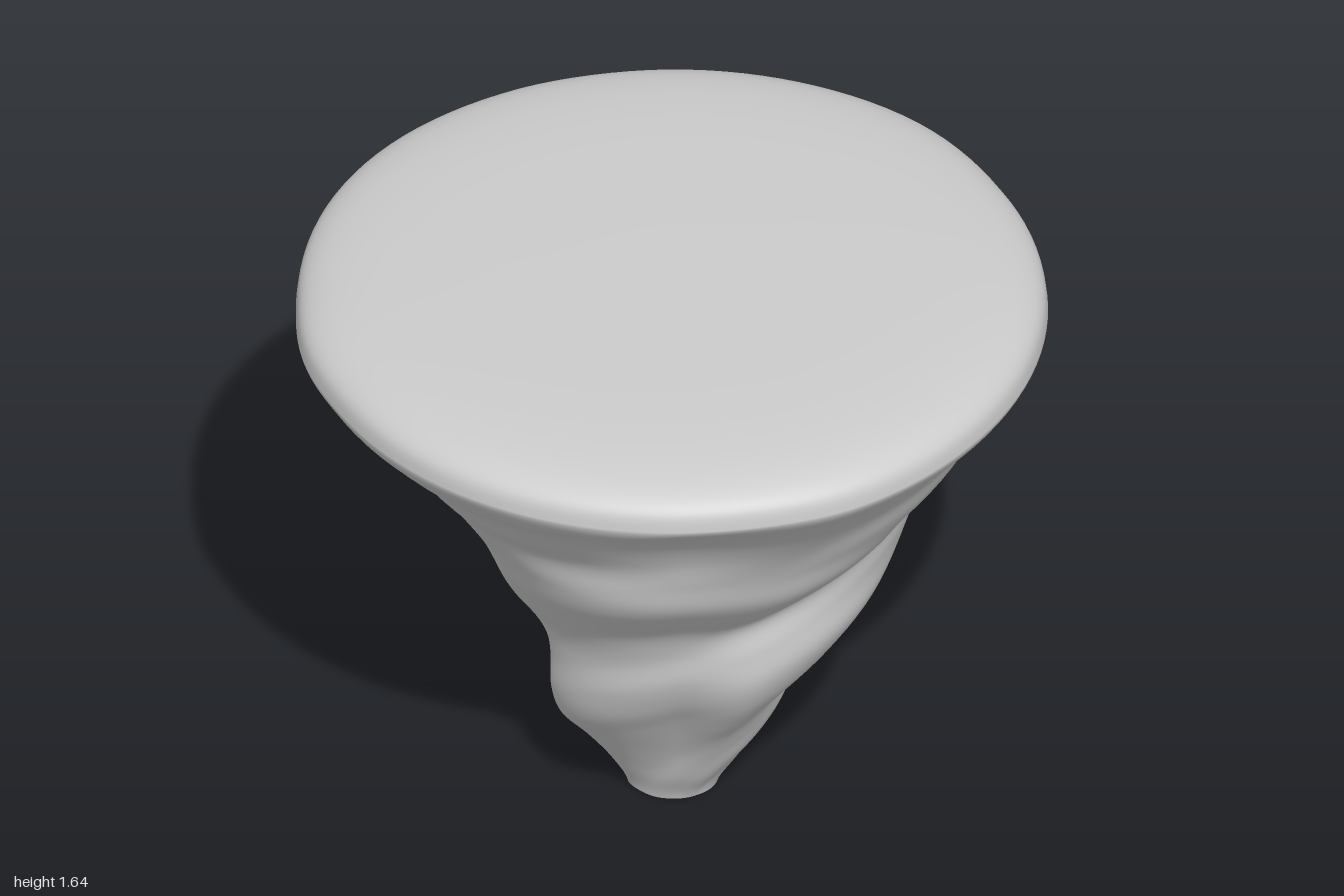
import * as THREE from 'three';

const STEP = 0.1, TOP = 1.5, SEG = 120, RINGS = 90;

// For each direction (degrees from the front towards +x): radius every 0.1 of height,
// and the height a ridge climbs on its way to the next direction
const sectors = [
  { deg: 0, rise: 0.34, r: [0.13, 0.19, 0.24, 0.30, 0.38, 0.45, 0.49, 0.49, 0.485, 0.585, 0.67, 0.71, 0.76, 0.83, 0.915, 1.0] },
  { deg: 90, rise: 0.28, r: [0.09, 0.16, 0.24, 0.31, 0.35, 0.37, 0.39, 0.47, 0.58, 0.66, 0.70, 0.73, 0.79, 0.85, 0.93, 0.985] },
  { deg: 153, rise: 0.1, r: [0.11, 0.15, 0.21, 0.265, 0.32, 0.385, 0.445, 0.51, 0.54, 0.555, 0.60, 0.69, 0.78, 0.84, 0.91, 0.99] },
  { deg: 180, rise: 0.22, r: [0.11, 0.13, 0.19, 0.26, 0.32, 0.36, 0.45, 0.55, 0.625, 0.665, 0.685, 0.675, 0.81, 0.88, 0.94, 0.995] },
  { deg: 243, rise: 0.12, r: [0.12, 0.19, 0.26, 0.285, 0.30, 0.345, 0.41, 0.46, 0.51, 0.58, 0.66, 0.725, 0.79, 0.87, 0.94, 0.99] },
  { deg: 270, rise: 0.19, r: [0.13, 0.18, 0.25, 0.33, 0.36, 0.36, 0.375, 0.44, 0.49, 0.53, 0.59, 0.67, 0.74, 0.83, 0.92, 0.99] },
  { deg: 333, rise: 0.05, r: [0.13, 0.18, 0.22, 0.275, 0.335, 0.40, 0.44, 0.45, 0.49, 0.58, 0.66, 0.69, 0.72, 0.78, 0.88, 0.99] },
];

const spline = (values) => new THREE.SplineCurve(values.map((v, k) => new THREE.Vector2(v, k * STEP)));
const sample = (curve, y) => curve.getPoint(THREE.MathUtils.clamp(y / TOP, 0, 1)).x;
const mean = sectors[0].r.map((_, k) => sectors.reduce((s, p) => s + p.r[k], 0) / sectors.length);
const baseCurve = spline(mean);
const ridgeCurves = sectors.map((p) => spline(p.r.map((v, k) => v - mean[k])));

// Ridges of neighbouring directions are blended along a rising helix
function radius(deg, y) {
  const i = sectors.findLastIndex((s) => s.deg <= deg), n = (i + 1) % sectors.length;
  const { deg: start, rise } = sectors[i];
  const t = (deg - start) / ((sectors[n].deg || 360) - start);
  const w = t * t * (3 - 2 * t);
  const from = sample(ridgeCurves[i], y - rise * t);
  const to = sample(ridgeCurves[n], y + rise * (1 - t));
  return sample(baseCurve, y) + from * (1 - w) + to * w;
}

function buildGeometry(positions, index) {
  const g = new THREE.BufferGeometry();
  g.setAttribute('position', new THREE.Float32BufferAttribute(positions, 3));
  g.setIndex(index);
  g.computeVertexNormals();
  return g;
}

export function createModel() {
  const group = new THREE.Group();
  group.name = 'whirlwind';
  const material = new THREE.MeshStandardMaterial({ color: 0xcccccc });

  // Cross-sections: [height, scale] up the funnel, then over the rounded lip to the centre
  const rings = [];
  for (let j = 0; j <= RINGS; j++) rings.push([(TOP * j) / RINGS, 1]);
  const lip = new THREE.SplineCurve([
    [1, 1.5], [0.99, 1.55], [0.955, 1.583], [0.89, 1.606], [0.78, 1.622], [0.6, 1.632], [0.3, 1.637], [0, 1.638],
  ].map(([s, y]) => new THREE.Vector2(s, y)));
  lip.getPoints(35).slice(1).forEach((p) => rings.push([p.y, p.x]));

  const positions = [], index = [];
  rings.forEach(([y, s], j) => {
    for (let i = 0; i < SEG; i++) {
      const deg = (i / SEG) * 360, a = THREE.MathUtils.degToRad(deg);
      const r = radius(deg, Math.min(y, TOP)) * s;
      // the foot's rim lifts a little on one side
      const lift = 0.03 * Math.max(0, Math.sin(a - 0.2)) ** 2 * Math.max(0, 1 - y / 0.15);
      positions.push(r * Math.sin(a), y + lift, r * Math.cos(a));
      if (j === rings.length - 1) continue;
      const n = (i + 1) % SEG, lo = j * SEG, hi = lo + SEG;
      index.push(lo + i, lo + n, hi + n, lo + i, hi + n, hi + i);
    }
  });
  const funnel = new THREE.Mesh(buildGeometry(positions, index), material);
  funnel.name = 'funnel';
  group.add(funnel);

  // Shallow foot closing the narrow end
  const foot = positions.slice(0, SEG * 3), footIndex = [];
  foot.push(-0.01, 0.008, 0);
  for (let i = 0; i < SEG; i++) footIndex.push(SEG, (i + 1) % SEG, i);
  const cap = new THREE.Mesh(buildGeometry(foot, footIndex), material);
  cap.name = 'foot';
  group.add(cap);

  return group;
}
